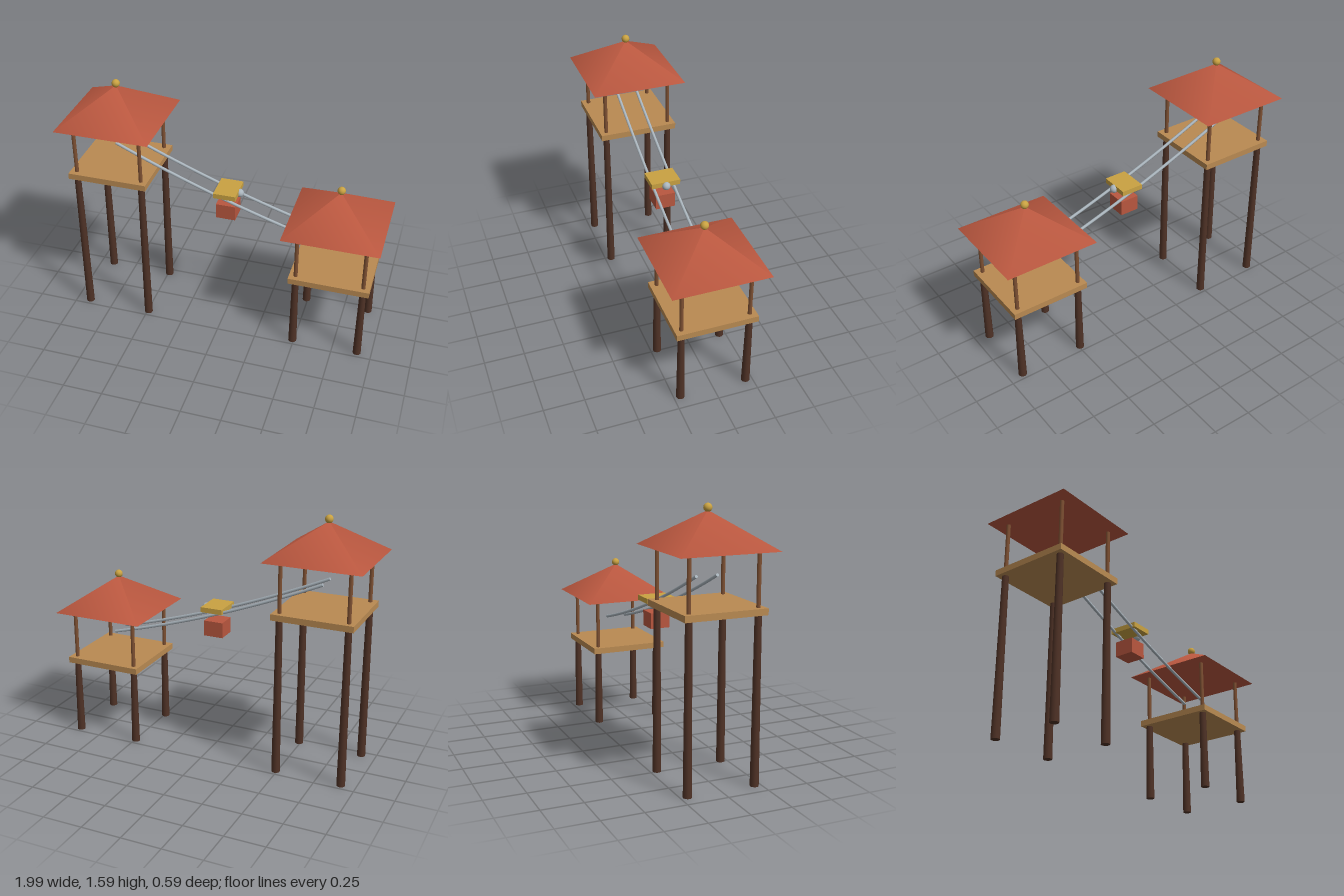
import * as THREE from 'three';

const material = (name, color) => {
  const m = new THREE.MeshStandardMaterial({ color });
  m.name = name;
  return m;
};

export function createModel() {
  const darkWood = material('dark wood', 0x4f3226);
  const postWood = material('post wood', 0x7f5133);
  const plank = material('plank', 0xb98a52);
  const red = material('red', 0xb9573f);
  const gold = material('gold', 0xc9a242);
  const steel = material('steel', 0xabb6be);

  const model = new THREE.Group();
  model.name = 'cableway';

  const add = (parent, name, geometry, mat, x, y, z) => {
    const mesh = new THREE.Mesh(geometry, mat);
    mesh.name = name;
    mesh.position.set(x, y, z);
    parent.add(mesh);
    return mesh;
  };

  // Towers: tapered legs, deck, posts, pyramid roof and finial
  const tower = (name, x, deckY) => {
    const group = new THREE.Group();
    group.name = name;
    group.position.x = x;
    const eaves = deckY + 0.33;
    for (const sx of [-1, 1]) for (const sz of [-1, 1]) {
      add(group, 'leg', new THREE.CylinderGeometry(0.02, 0.026, deckY, 10),
        darkWood, sx * 0.209, deckY / 2, sz * 0.209);
      add(group, 'post', new THREE.CylinderGeometry(0.0125, 0.0125, 0.33, 8),
        postWood, sx * 0.209, deckY + 0.165, sz * 0.209);
    }
    add(group, 'deck', new THREE.BoxGeometry(0.5, 0.038, 0.5), plank, 0, deckY, 0);
    const roof = add(group, 'roof', new THREE.ConeGeometry(0.297 * Math.SQRT2, 0.206, 4),
      red, 0, eaves + 0.103, 0);
    roof.rotation.y = Math.PI / 4;
    add(group, 'finial', new THREE.SphereGeometry(0.025, 16, 12), gold, 0, eaves + 0.22, 0);
    model.add(group);
  };
  tower('tallTower', -0.7, 1.011);
  tower('shortTower', 0.7, 0.506);

  // Sagging twin cables with capped ends
  const cablePath = new THREE.QuadraticBezierCurve3(
    new THREE.Vector3(-0.7, 1.186, 0),
    new THREE.Vector3(0, 0.862, 0),
    new THREE.Vector3(0.7, 0.681, 0));
  for (const z of [-0.065, 0.065]) {
    add(model, 'cable', new THREE.TubeGeometry(cablePath, 24, 0.0095, 8), steel, 0, 0, z);
    for (const t of [0, 1]) {
      const p = cablePath.getPoint(t);
      const cap = add(model, 'cableEnd', new THREE.CircleGeometry(0.0095, 8), steel, p.x, p.y, z);
      const out = cablePath.getTangent(t).multiplyScalar(t ? 1 : -1);
      cap.quaternion.setFromUnitVectors(new THREE.Vector3(0, 0, 1), out);
    }
  }

  // Trolley plate with its roller, and the load below
  add(model, 'trolley', new THREE.BoxGeometry(0.142, 0.032, 0.184), gold, 0, 0.931, 0);
  add(model, 'roller', new THREE.SphereGeometry(0.026, 16, 12), steel, 0.074, 0.922, 0);
  add(model, 'load', new THREE.BoxGeometry(0.124, 0.098, 0.124), red, 0, 0.802, 0);

  return model;
}
